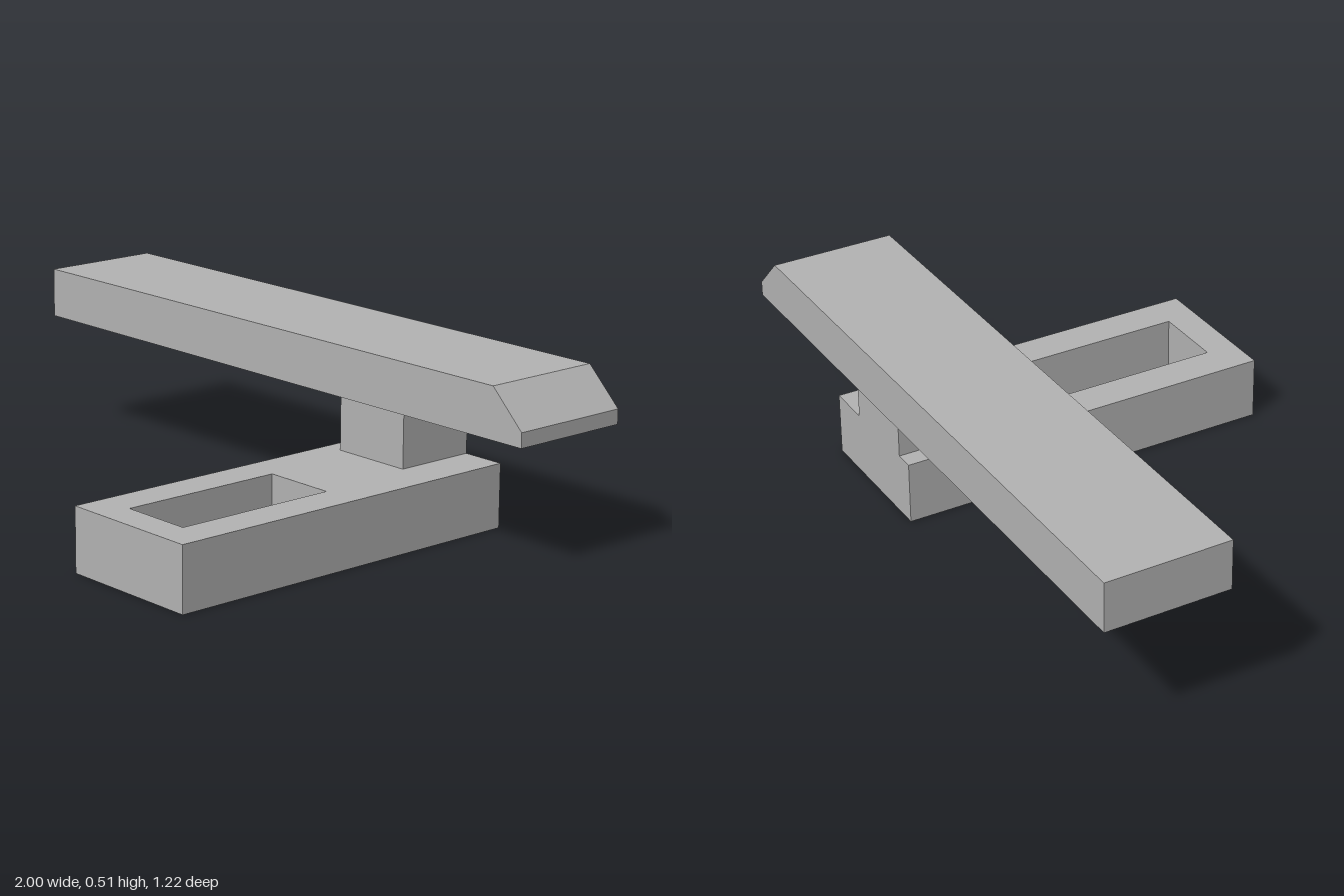
import * as THREE from 'three';

const grey = new THREE.MeshStandardMaterial({ color: 0xb3b3b3 });
grey.name = 'grey';

const polygon = (Type, points) => new Type(points.map(([x, y]) => new THREE.Vector2(x, y)));
const rectangle = (x0, x1, y0, y1) => [[x0, y0], [x1, y0], [x1, y1], [x0, y1]];

function extrude(shape, depth) {
  return new THREE.ExtrudeGeometry(shape, { depth, bevelEnabled: false });
}

export function createModel() {
  const group = new THREE.Group();
  const add = (name, geometry) => {
    const mesh = new THREE.Mesh(geometry, grey);
    mesh.name = name;
    group.add(mesh);
  };

  // Base block with a slot cut right through; drawn in plan (shape y = -z)
  const plan = polygon(THREE.Shape, rectangle(0.188, 0.632, -0.608, 0.545));
  plan.holes.push(polygon(THREE.Path, rectangle(0.3, 0.52, -0.513, -0.01)));
  add('slottedBase', extrude(plan, 0.188).rotateX(-Math.PI / 2));

  // Post flush with the back of the base
  add('post', new THREE.BoxGeometry(0.254, 0.178, 0.249).translate(0.372, 0.277, -0.4205));

  // Crossbar with one chamfered top end
  const profile = polygon(THREE.Shape, [
    [-1, 0.366], [1, 0.366], [1, 0.409], [0.893, 0.514], [-1, 0.514],
  ]);
  add('crossbar', extrude(profile, 0.373).translate(0, 0, -0.608));

  return group;
}
